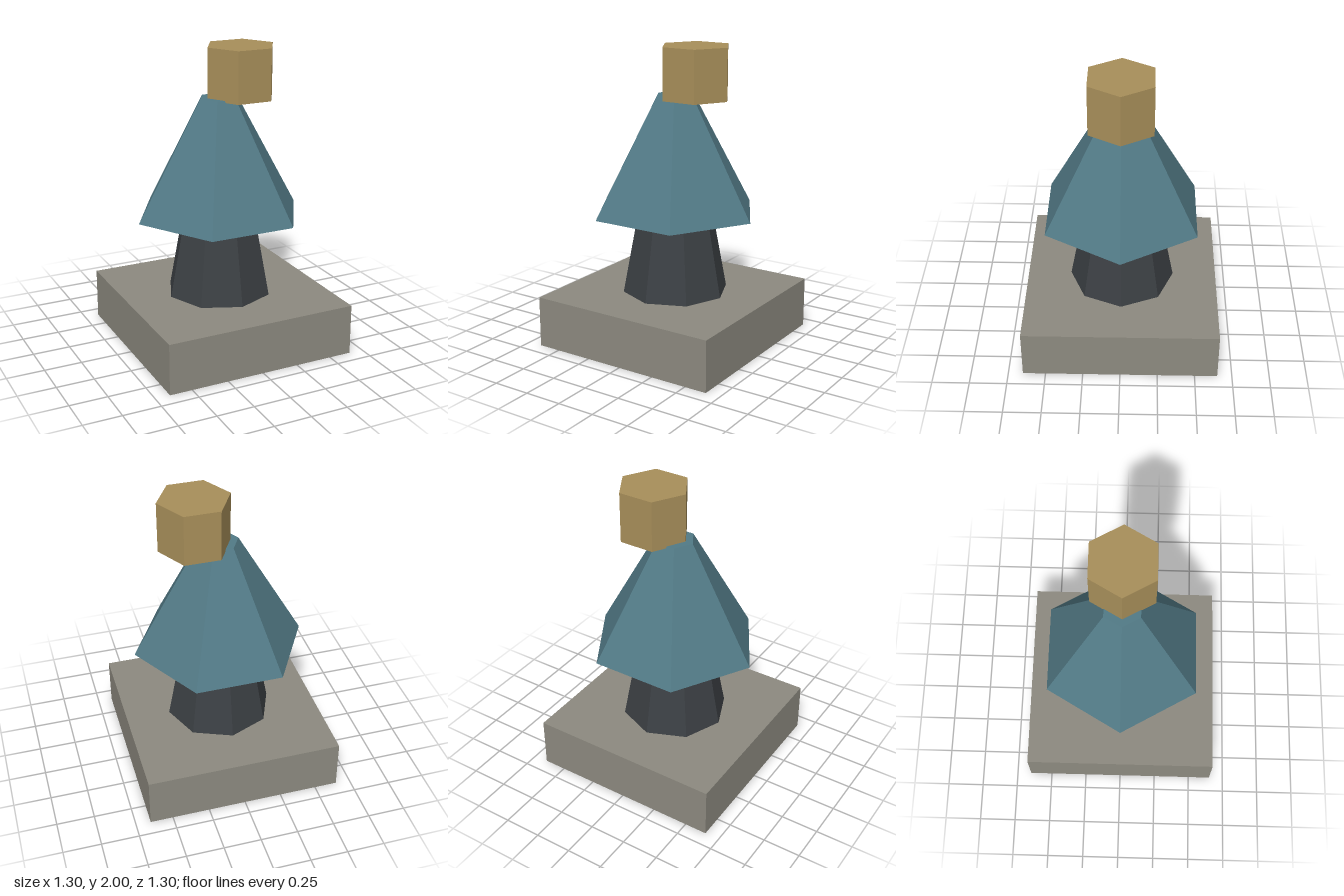
import * as THREE from 'three';

// Flat-shaded tapered prism standing between two heights, with corners on the x axis
function prism(name, color, sides, rTop, rBottom, y0, y1, x = 0) {
  const geometry = new THREE.CylinderGeometry(rTop, rBottom, y1 - y0, sides, 1, false, Math.PI / 2);
  const mesh = new THREE.Mesh(geometry, new THREE.MeshStandardMaterial({ color, flatShading: true }));
  mesh.name = name;
  mesh.position.set(x, (y0 + y1) / 2, 0);
  return mesh;
}

export function createModel() {
  const model = new THREE.Group();
  model.name = 'pedestalFigure';

  // Square plinth
  const plinth = new THREE.Mesh(
    new THREE.BoxGeometry(1.304, 0.342, 1.304),
    new THREE.MeshStandardMaterial({ color: 0x8d8a80, flatShading: true })
  );
  plinth.name = 'plinth';
  plinth.position.y = 0.171;

  model.add(
    plinth,
    // Octagonal tapered stem
    prism('stem', 0x3c4044, 8, 0.25, 0.355, 0.342, 0.897),
    // Hexagonal cloak, nearly a cone
    prism('cloak', 0x527a86, 6, 0.132, 0.573, 0.893, 1.673),
    // Hexagonal head, set off to one side
    prism('head', 0xa88f5a, 6, 0.235, 0.235, 1.66, 2.0, 0.155)
  );
  return model;
}
